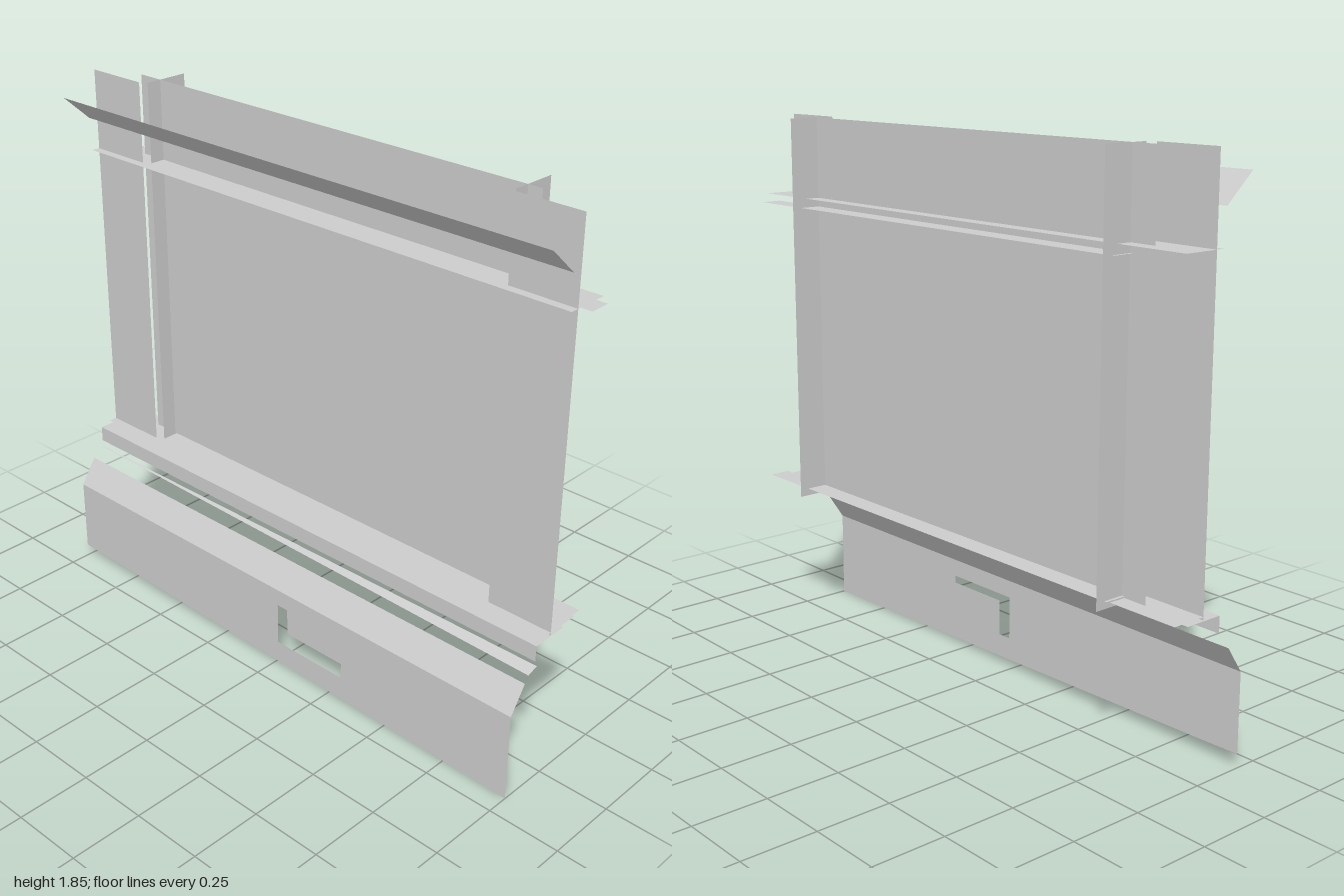
import * as THREE from 'three';

const material = new THREE.MeshStandardMaterial({ color: 0xcccccc, side: THREE.DoubleSide, flatShading: true });

// Flat four-cornered sheet, corners in order around the edge
function sheet(name, a, b, c, d) {
  const geometry = new THREE.BufferGeometry();
  geometry.setAttribute('position', new THREE.Float32BufferAttribute([...a, ...b, ...c, ...d], 3));
  geometry.setIndex([0, 1, 2, 0, 2, 3]);
  geometry.computeVertexNormals();
  const mesh = new THREE.Mesh(geometry, material);
  mesh.name = name;
  return mesh;
}

// Upright sheet facing the front
const upright = (name, x0, x1, y0, y1, z) =>
  sheet(name, [x0, y0, z], [x1, y0, z], [x1, y1, z], [x0, y1, z]);

// Strip running along x between two (y, z) edges
const strip = (name, x0, x1, [ya, za], [yb, zb]) =>
  sheet(name, [x0, ya, za], [x1, ya, za], [x1, yb, zb], [x0, yb, zb]);

export function createModel() {
  const model = new THREE.Group();
  model.name = 'wallSection';

  // Recessed middle panel with a side panel in front at each end
  model.add(upright('middlePanel', -0.84, 0.81, 0.53, 1.85, -0.07));
  model.add(upright('rightSidePanel', -1, -0.77, 0.515, 1.85, 0));
  model.add(upright('leftSidePanel', 0.765, 1, 0.515, 1.85, 0));

  // Vertical ribs crossing the middle panel
  for (const [name, x] of [['rightRib', -0.745], ['leftRib', 0.76]]) {
    model.add(sheet(name, [x, 0.51, -0.015], [x, 0.51, -0.176], [x, 1.85, -0.176], [x, 1.85, -0.015]));
  }

  // Sloping canopy
  model.add(strip('canopy', -1, 1, [1.69, 0.035], [1.78, 0.136]));

  // Horizontal rails at the top and bottom of the panels
  model.add(strip('upperRail', -1, 1, [1.575, 0.03], [1.575, -0.12]));
  model.add(strip('upperBackRail', -0.755, 1, [1.545, -0.07], [1.545, -0.144]));
  model.add(strip('lowerRail', -1, 1, [0.525, 0.03], [0.525, -0.12]));
  model.add(strip('lowerBackRail', -0.755, 1, [0.535, -0.07], [0.535, -0.144]));

  // Sill, its hanging lip and the tapering strip below
  model.add(strip('sill', -1, 1, [0.512, 0.07], [0.512, -0.065]));
  model.add(upright('sillLip', -1, 1, 0.457, 0.512, 0.07));
  model.add(sheet('taperedStrip', [-1, 0.43, 0.07], [1, 0.422, 0.1], [1, 0.435, 0.06], [-1, 0.431, 0.068]));

  // Skirt: sloping top, and a front with a slanted lower edge and a hatch opening
  model.add(strip('skirtSlope', -1, 1, [0.31, 0.175], [0.4, 0.115]));
  const front = new THREE.Shape([[-1, 0.045], [1, 0], [1, 0.31], [-1, 0.31]].map(p => new THREE.Vector2(...p)));
  front.holes.push(new THREE.Path([[0.025, 0.1], [0.025, 0.25], [0.315, 0.25], [0.315, 0.1]].map(p => new THREE.Vector2(...p))));
  const skirt = new THREE.Mesh(new THREE.ShapeGeometry(front), material);
  skirt.name = 'skirtFront';
  skirt.position.z = 0.175;
  model.add(skirt);

  // Hatch set back behind the opening
  model.add(upright('hatch', 0.025, 0.303, 0.11, 0.25, 0.13));

  return model;
}
